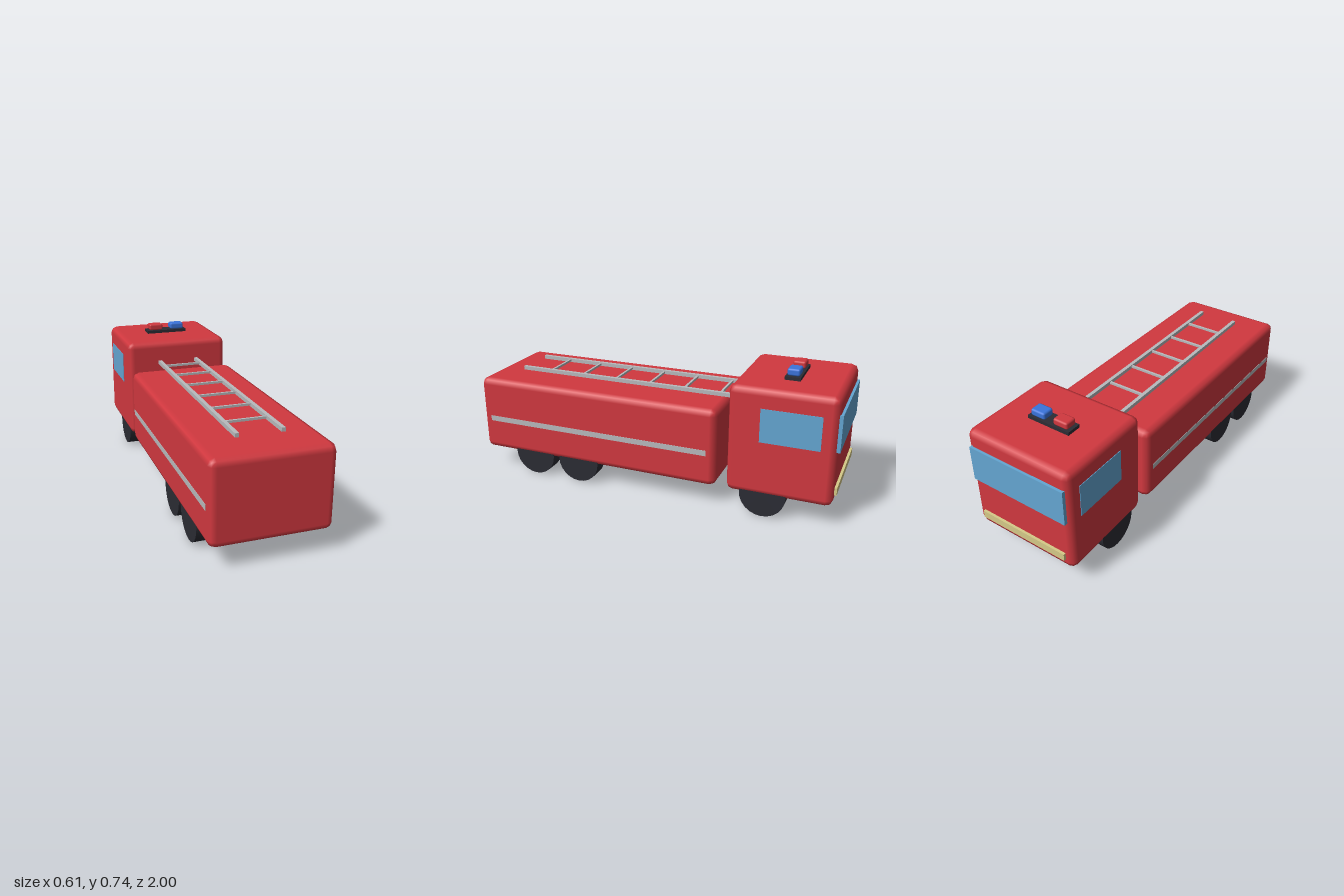
import * as THREE from 'three';
import { RoundedBoxGeometry } from 'three/addons/geometries/RoundedBoxGeometry.js';

const paint = (name, color) => {
  const m = new THREE.MeshStandardMaterial({ color });
  m.name = name;
  return m;
};

export function createModel() {
  const red = paint('red paint', 0xd1383f);
  const glass = paint('window blue', 0x64a6d2);
  const silver = paint('silver', 0xb8babd);
  const dark = paint('tyre black', 0x2b2c34);
  const blue = paint('beacon blue', 0x3a74dc);
  const cream = paint('headlight cream', 0xd6ca88);

  const truck = new THREE.Group();
  truck.name = 'fireTruck';

  const add = (name, geometry, material, x, y, z, parent = truck) => {
    const mesh = new THREE.Mesh(geometry, material);
    mesh.name = name;
    mesh.position.set(x, y, z);
    parent.add(mesh);
    return mesh;
  };
  const box = (w, h, d) => new THREE.BoxGeometry(w, h, d);

  // Rounded rear body and cab (the cab faces -z)
  add('body', new RoundedBoxGeometry(0.6, 0.42, 1.39, 1, 0.035), red, 0, 0.325, 0.305);
  add('cab', new RoundedBoxGeometry(0.6, 0.568, 0.54, 1, 0.035), red, 0, 0.4, -0.717);

  // Windscreen and headlight strip on the cab nose
  add('windscreen', box(0.555, 0.19, 0.02), glass, 0, 0.502, -0.99);
  add('headlightStrip', box(0.51, 0.04, 0.02), cream, 0, 0.19, -0.99);

  // Side windows, stripes and wheels, mirrored
  const wheelGeometry = new THREE.CylinderGeometry(0.12, 0.12, 0.085, 24).rotateZ(Math.PI / 2);
  for (const [side, s] of [['left', 1], ['right', -1]]) {
    add(side + 'Window', box(0.008, 0.175, 0.3), glass, s * 0.299, 0.498, -0.762);
    add(side + 'Stripe', box(0.008, 0.03, 1.29), silver, s * 0.298, 0.301, 0.305);
    for (const z of [-0.64, 0.405, 0.68]) {
      add(side + 'Wheel', wheelGeometry, dark, s * 0.25, 0.12, z);
    }
  }

  // Roof ladder, its front end running into the cab
  const ladder = new THREE.Group();
  ladder.name = 'ladder';
  truck.add(ladder);
  for (const s of [-1, 1]) {
    add('ladderRail', box(0.02, 0.02, 1.35), silver, s * 0.112, 0.562, 0.15, ladder);
  }
  for (let i = 0; i < 6; i++) {
    add('ladderRung', box(0.22, 0.012, 0.012), silver, 0, 0.562, 0.65 - i * 0.2, ladder);
  }

  // Roof light bar with two beacons
  add('lightBar', box(0.244, 0.02, 0.08), dark, 0, 0.691, -0.72);
  const beacon = new RoundedBoxGeometry(0.083, 0.037, 0.065, 1, 0.01);
  add('redBeacon', beacon, red, -0.067, 0.7195, -0.72);
  add('blueBeacon', beacon, blue, 0.067, 0.7195, -0.72);

  return truck;
}
